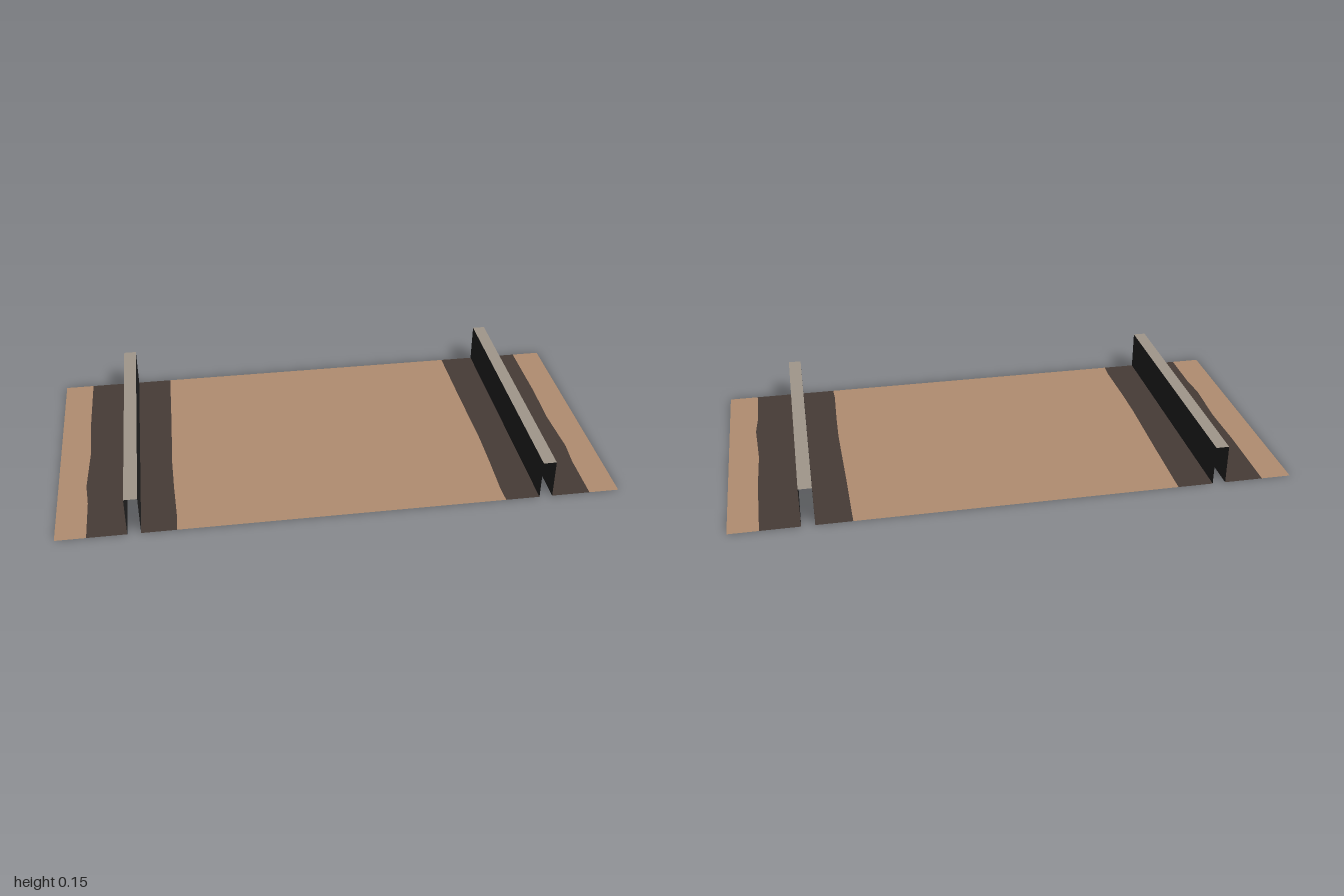
import * as THREE from 'three';

const HALF_DEPTH = 0.492, RAIL_IN = 0.706, RAIL_OUT = 0.753, RAIL_TOP = 0.147;

const makeMaterial = (name, color) =>
  new THREE.MeshStandardMaterial({ name, color, side: THREE.DoubleSide });

// Edges of the dark bed beside each rail, as [distance from centre, z]
const innerEdge = [[0.578, -HALF_DEPTH], [0.582, -0.2], [0.588, 0.1], [0.586, 0.25], [0.581, 0.43], [0.584, HALF_DEPTH]];
const outerEdge = [[0.893, -HALF_DEPTH], [0.895, -0.2], [0.89, 0], [0.9, 0.2], [0.892, 0.3], [0.892, HALF_DEPTH]];
const straightEdge = (x) => [[x, -HALF_DEPTH], [x, HALF_DEPTH]];
const mirrored = (edge) => edge.map(([x, z]) => [-x, z]);

const polygon = (points) =>
  new THREE.ShapeGeometry(new THREE.Shape(points.map(([x, y]) => new THREE.Vector2(x, y))));

export function createModel() {
  const group = new THREE.Group();
  const tan = makeMaterial('tan ground', 0xb08d70);
  const brown = makeMaterial('dark brown bed', 0x463b36);
  const grey = makeMaterial('worn grey metal', 0xa0968a);
  const black = makeMaterial('black metal', 0x222222);

  const add = (name, geometry, material) => {
    const mesh = new THREE.Mesh(geometry, material);
    mesh.name = name;
    group.add(mesh);
    return mesh;
  };

  // Flat strip on the ground between two edges
  const strip = (name, edgeA, edgeB, material) => {
    const points = [...edgeA, ...[...edgeB].reverse()].map(([x, z]) => [x, -z]);
    add(name, polygon(points).rotateX(-Math.PI / 2), material);
  };

  strip('groundCentre', mirrored(innerEdge), innerEdge, tan);

  for (const side of [1, -1]) {
    const label = side > 0 ? 'left' : 'right';
    const place = (edge) => (side > 0 ? edge : mirrored(edge));

    // Ground and bed, leaving a slot under the hollow rail
    strip(label + 'BedInner', place(innerEdge), place(straightEdge(RAIL_IN)), brown);
    strip(label + 'BedOuter', place(straightEdge(RAIL_OUT)), place(outerEdge), brown);
    strip(label + 'GroundOuter', place(outerEdge), place(straightEdge(1)), tan);

    // Rail: open channel of two walls and a top
    for (const [part, x, facing] of [['RailInnerWall', RAIL_IN, -side], ['RailOuterWall', RAIL_OUT, side]]) {
      const wall = new THREE.PlaneGeometry(2 * HALF_DEPTH, RAIL_TOP).rotateY(facing * Math.PI / 2);
      add(label + part, wall, black).position.set(side * x, RAIL_TOP / 2, 0);
    }
    const top = new THREE.PlaneGeometry(RAIL_OUT - RAIL_IN, 2 * HALF_DEPTH).rotateX(-Math.PI / 2);
    add(label + 'RailTop', top, grey).position.set(side * (RAIL_IN + RAIL_OUT) / 2, RAIL_TOP, 0);

    // Thin wear marks on the outer wall, as [z, y]
    const marks = [
      [[-0.02, 0.106], [-0.08, 0.112], [-0.14, 0.113], [-0.17, 0.108], [-0.22, 0.112], [-0.3, 0.112], [-0.333, 0.106],
        [-0.31, 0.099], [-0.2, 0.1], [-0.12, 0.096], [-0.06, 0.098]],
      [[0.412, 0.109], [0.37, 0.11], [0.37, 0.108]],
      [[0.405, 0.103], [0.36, 0.102], [0.41, 0.101]],
    ];
    for (const mark of marks) {
      const points = mark.map(([z, y]) => [-side * z, y]);
      add(label + 'WearMark', polygon(points).rotateY(side * Math.PI / 2), brown)
        .position.x = side * (RAIL_OUT + 0.001);
    }
  }
  return group;
}
